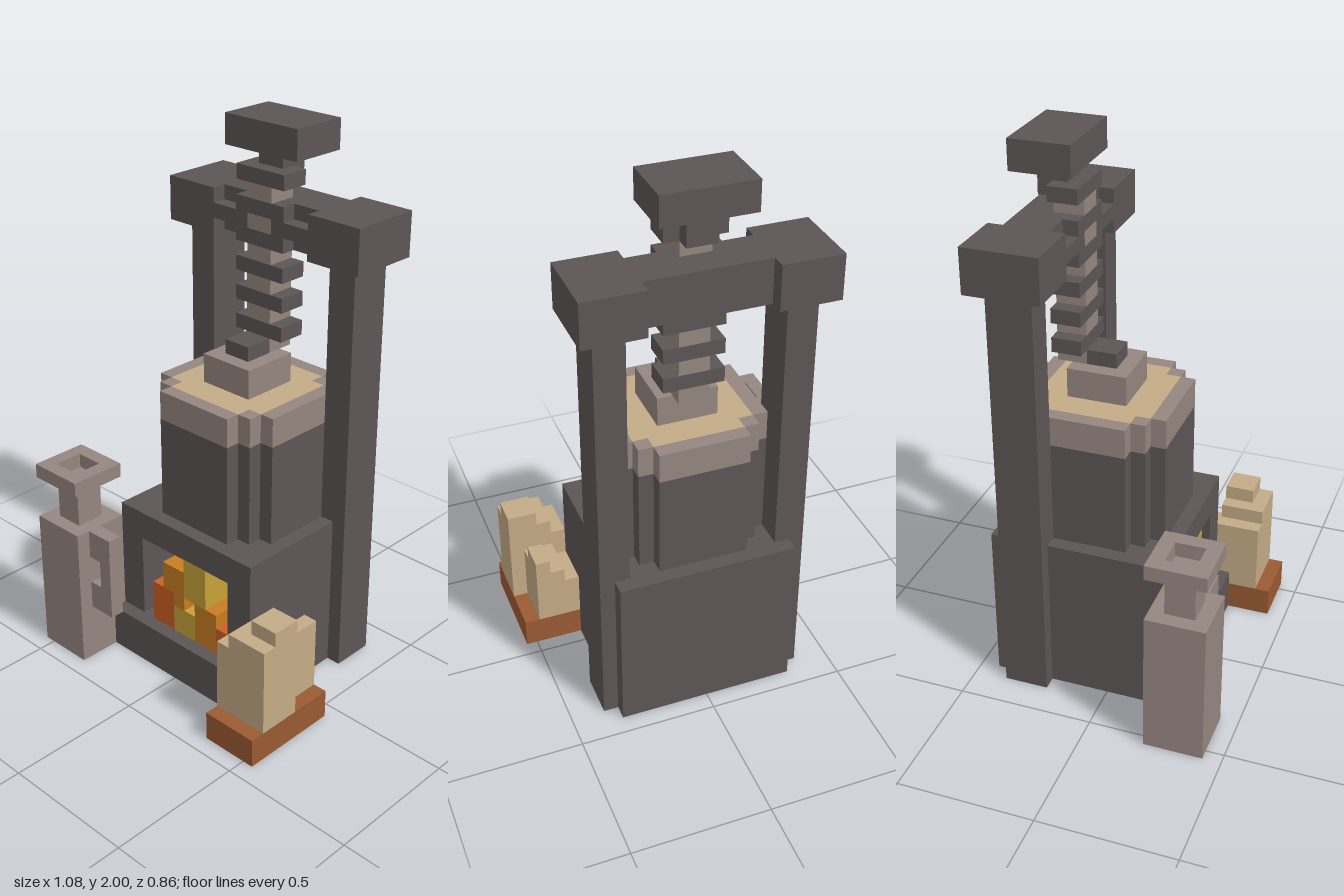
import * as THREE from 'three';

const U = 2 / 37; // one block unit

const mat = (name, color) => {
  const m = new THREE.MeshStandardMaterial({ color });
  m.name = name;
  return m;
};

export function createModel() {
  const root = new THREE.Group();
  root.name = 'furnacePress';
  const model = new THREE.Group();
  model.name = 'blocks';
  model.scale.setScalar(U);
  root.add(model);

  const iron = mat('darkIron', 0x5c5555);
  const steel = mat('paleSteel', 0x95867f);
  const cream = mat('cream', 0xc4ab86);
  const brown = mat('brownTray', 0x9a5a32);
  const ember = mat('emberRed', 0xcc5f24);
  const orange = mat('flameOrange', 0xc87d22);
  const yellow = mat('flameYellow', 0xc8a136);

  const add = (name, geo, material, parent = model) => {
    const m = new THREE.Mesh(geo, material);
    m.name = name;
    parent.add(m);
    return m;
  };
  // Box given by its limits on each axis
  const box = (name, material, [x0, x1], [y0, y1], [z0, z1]) => {
    const g = new THREE.BoxGeometry(x1 - x0, y1 - y0, z1 - z0);
    g.translate((x0 + x1) / 2, (y0 + y1) / 2, (z0 + z1) / 2);
    return add(name, g, material);
  };
  // Round outline made of square steps; corner is one quarter
  const steppedOutline = (corner) => {
    const pts = [];
    const back = [...corner].reverse();
    corner.forEach(([x, y]) => pts.push([x, y]));
    back.forEach(([x, y]) => pts.push([-x, y]));
    corner.forEach(([x, y]) => pts.push([-x, -y]));
    back.forEach(([x, y]) => pts.push([x, -y]));
    return pts.map(([x, y]) => new THREE.Vector2(x, y));
  };
  const slab = (name, material, shape, y0, y1, z) => {
    const g = new THREE.ExtrudeGeometry(shape, { depth: y1 - y0, bevelEnabled: false });
    g.rotateX(-Math.PI / 2);
    g.translate(0, y0, z);
    return add(name, g, material);
  };

  // Furnace base with a front opening
  box('baseFloor', iron, [-6, 6], [0, 3], [-8, 5]);
  box('baseBack', iron, [-6, 6], [3, 11], [-8, 0]);
  box('baseLintel', iron, [-4, 4], [9, 11], [0, 4]);
  for (const s of [-1, 1]) {
    const span = (a, b) => (s > 0 ? [a, b] : [-b, -a]);
    box('baseCheek', iron, span(4, 6), [3, 11], [0, 4]);
    box('post', iron, span(5, 7), [0, 29], [-7, -4]);
    box('beamEnd', iron, span(4, 8), [29, 32], [-8, -3]);
    box('beamRib', iron, span(1, 4), [30, 31], [-4, -3]);
  }
  box('beamMiddle', iron, [-4, 4], [29, 32], [-7, -4]);

  // Fire, set a hair proud of the furnace face
  const fz = [1, 4.02];
  box('leftEmber', ember, [-3, -1], [3, 6], fz);
  box('rightEmber', ember, [3, 5], [3, 5], fz);
  box('leftFlameTop', orange, [-2, 0], [6, 8], fz);
  box('leftFlameRoot', orange, [-1, 0], [5, 6], fz);
  box('rightFlame', orange, [1, 3], [3, 6], fz);
  box('lowFlame', yellow, [-1, 1], [3, 5], fz);
  box('tallFlame', yellow, [0, 2], [6, 9], fz);

  // Pressing drum with pale rim and cream filling
  const outer = steppedOutline([[5, 3], [4, 3], [4, 4], [3, 4], [3, 5]]);
  const inner = steppedOutline([[4, 3], [3, 3], [3, 4]]);
  slab('drum', iron, new THREE.Shape(outer), 11, 18, -2);
  const rim = new THREE.Shape(outer);
  rim.holes.push(new THREE.Path(inner));
  slab('drumRim', steel, rim, 18, 20, -2);
  slab('drumFilling', cream, new THREE.Shape(inner), 18, 20, -2);
  box('pressPlate', steel, [-2, 2], [20, 22], [-4, 0]);
  box('plateCollar', iron, [-1, 1], [22, 23], [-3, -1]);

  // Screw: alternating shaft pieces and threads
  for (let y = 22; y <= 32; y += 2) {
    box('screwShaft', steel, [-1, 1], [y, y + 1], [-5, -3]);
    box('screwThread', iron, [-2, 2], [y + 1, y + 2], [-5, -3]);
  }
  box('screwNeck', iron, [-1, 1], [33, 35], [-6, -4]);
  box('screwCap', iron, [-3, 3], [35, 37], [-7, -3]);

  // Jug with neck, open lip and handle
  box('jugBody', steel, [-10, -6], [0, 10], [4, 8]);
  box('jugNeck', steel, [-9, -7], [10, 13], [5, 7]);
  for (const x of [-10, -7]) box('jugLipSide', steel, [x, x + 1], [13, 14], [4, 8]);
  for (const z of [4, 7]) box('jugLipEnd', steel, [-9, -7], [13, 14], [z, z + 1]);
  box('handleGrip', steel, [-5, -4], [4, 10], [6, 7]);
  box('handleTop', steel, [-6, -5], [8, 10], [6, 7]);
  box('handleBottom', steel, [-6, -5], [4, 6], [6, 7]);

  // Tray with two stepped cream blocks
  box('tray', brown, [6, 10], [0, 2], [1, 8]);
  box('frontBlockLow', cream, [6, 7], [2, 7], [4, 7]);
  box('frontBlockMiddle', cream, [7, 10], [2, 8], [4, 7]);
  box('frontBlockTop', cream, [8, 10], [8, 9], [4, 6]);
  box('rearBlockLow', cream, [6, 7], [2, 5], [1, 4]);
  box('rearBlockMiddle', cream, [7, 9], [2, 6], [1, 4]);
  box('rearBlockTop', cream, [8, 9], [6, 7], [1, 3]);

  return root;
}
